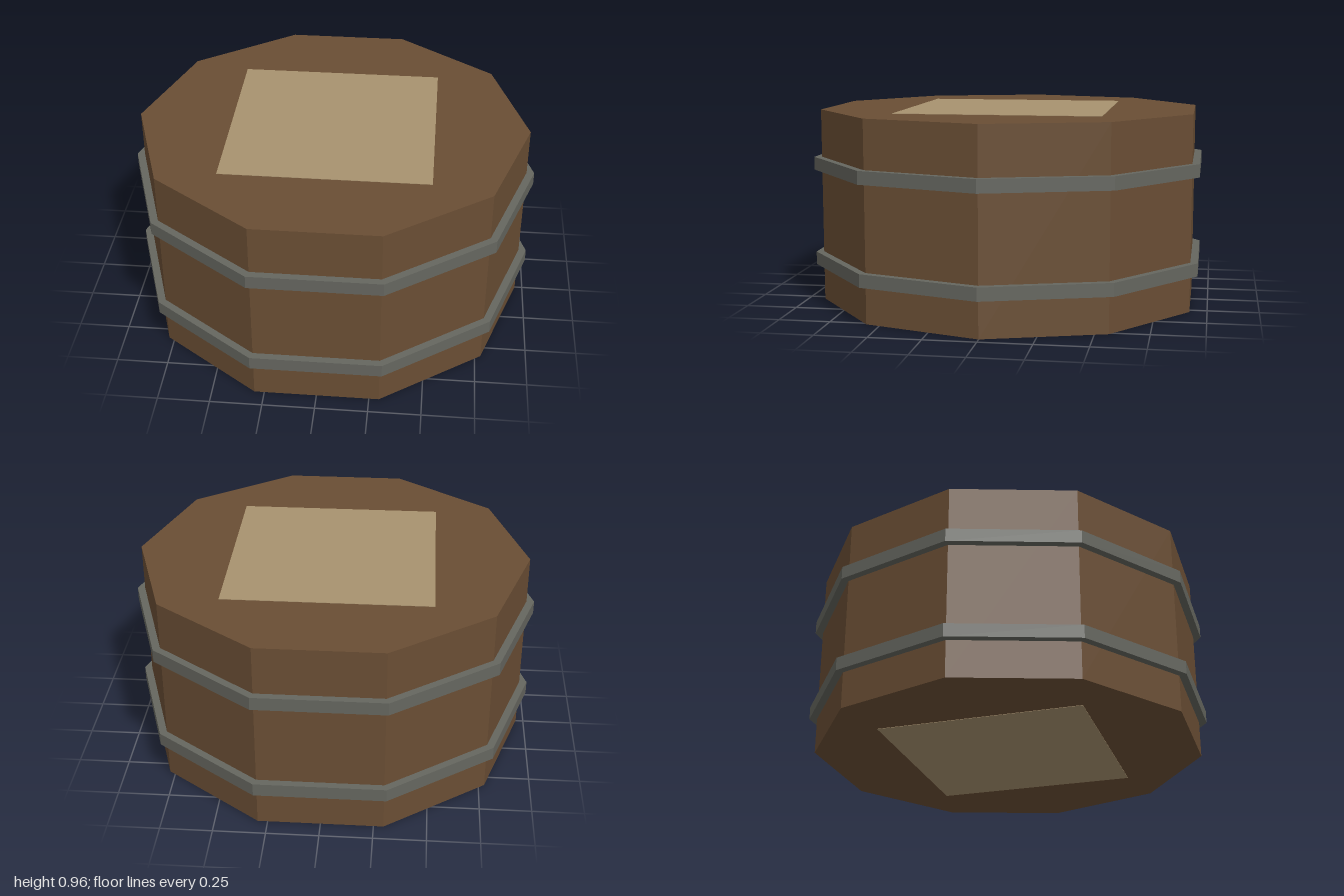
import * as THREE from 'three';

export function createModel() {
  const group = new THREE.Group();
  group.name = 'tub';

  const makeMaterial = (name, color) => {
    const material = new THREE.MeshStandardMaterial({ color, flatShading: true });
    material.name = name;
    return material;
  };
  const wood = makeMaterial('brown wood', 0x6a4e34);
  const iron = makeMaterial('grey iron', 0x65665f);
  const paleWood = makeMaterial('pale wood', 0xa8926f);

  const add = (name, geometry, y, material) => {
    const mesh = new THREE.Mesh(geometry, material);
    mesh.name = name;
    mesh.position.y = y;
    group.add(mesh);
  };

  // Ten-sided drum with corners on the x axis
  const drum = (name, radius, y0, y1, material) => {
    const geometry = new THREE.CylinderGeometry(radius, radius, y1 - y0, 10, 1, false, Math.PI / 2);
    add(name, geometry, (y0 + y1) / 2, material);
  };

  // Wooden body with closed top and bottom
  const height = 0.962;
  drum('body', 0.962, 0.002, height, wood);

  // Two hoops around the body
  drum('lowerHoop', 1, 0.182, 0.246, iron);
  drum('upperHoop', 1, 0.662, 0.726, iron);

  // Thin square pale panels on the top and the underside
  const panel = new THREE.BoxGeometry(1, 0.004, 1);
  add('topPanel', panel, height, paleWood);
  add('bottomPanel', panel, 0.002, paleWood);

  return group;
}
